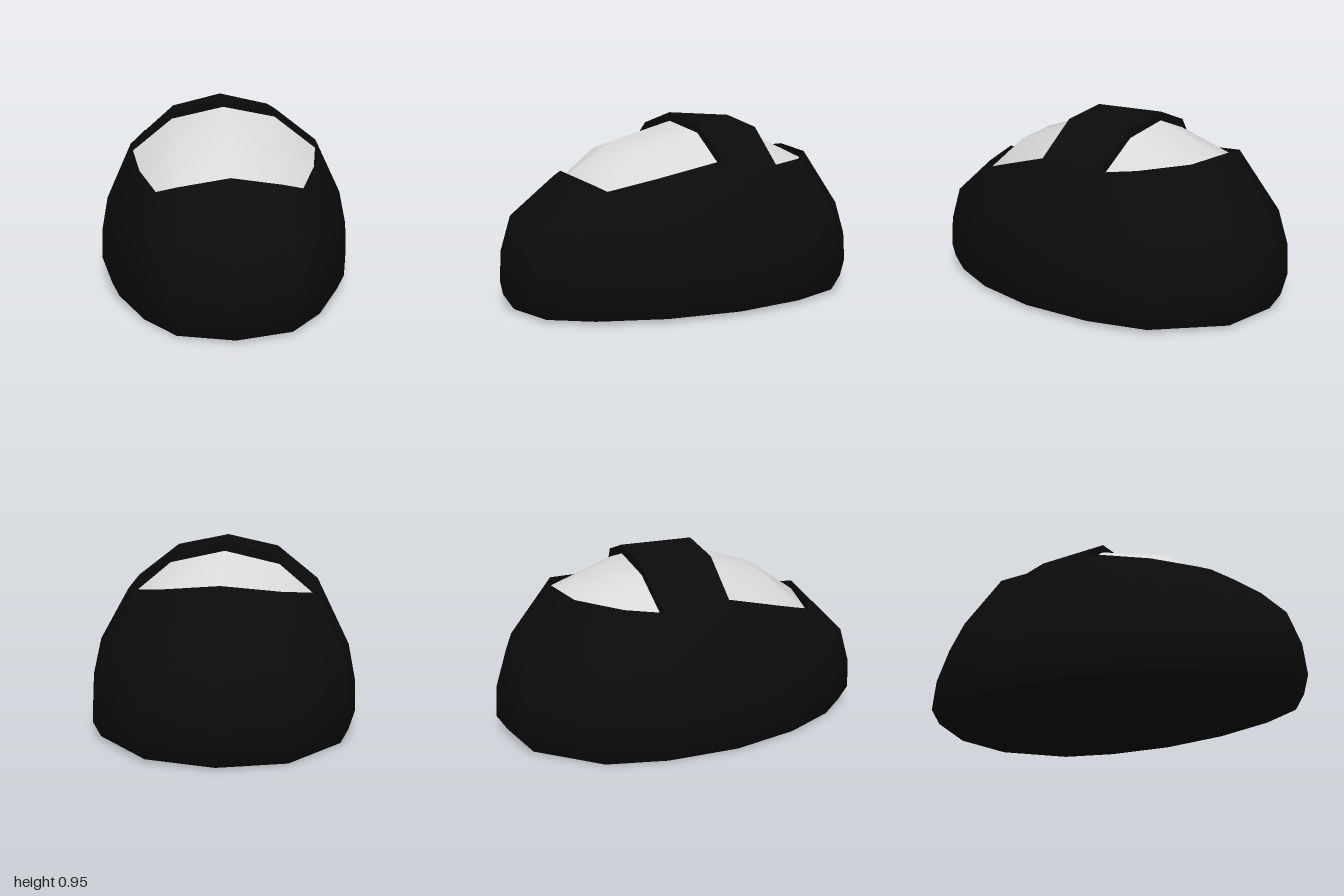
import * as THREE from 'three';

const black = new THREE.MeshStandardMaterial({ color: 0x0b0b0b });
black.name = 'blackShell';
const glass = new THREE.MeshStandardMaterial({ color: 0xd8d8d8 });
glass.name = 'paleGlass';

// Smooth surface through rows of [x, y, z] points
function loft(name, rows, material, closed = false) {
  const n = rows[0].length, index = [];
  for (let r = 0; r < rows.length - 1; r++) {
    for (let c = 0; c < (closed ? n : n - 1); c++) {
      const a = r * n + c, b = r * n + (c + 1) % n;
      index.push(a, b, b + n, a, b + n, a + n);
    }
  }
  const geometry = new THREE.BufferGeometry();
  geometry.setAttribute('position', new THREE.Float32BufferAttribute(rows.flat(2), 3));
  geometry.setIndex(index);
  geometry.computeVertexNormals();
  const mesh = new THREE.Mesh(geometry, material);
  mesh.name = name;
  return mesh;
}

const mirrorX = ([x, y, z]) => [-x, y, z];
const lower = (row, d = 0.045) => row.map(([x, y, z]) => [x, y - d, z]);
// Half a ring, nose to tail, completed on the other side
const ring = half => [...half, ...half.slice(1, -1).reverse().map(mirrorX)];
// Half an arch, left foot to centre, completed on the other side
const arch = half => [...half, ...half.slice(0, -1).reverse().map(mirrorX)];

export function createModel() {
  const group = new THREE.Group();
  group.name = 'canopy';

  // Egg-shaped plan and the window sill above it
  const plan = [[0, 1], [0.27, 0.93], [0.43, 0.74], [0.58, 0.43], [0.67, 0.06],
    [0.67, -0.32], [0.6, -0.62], [0.33, -0.92], [0, -1]];
  const sill = [[0, 0.67, 0.69], [0.24, 0.62, 0.635], [0.34, 0.592, 0.6], [0.425, 0.645, 0.39],
    [0.49, 0.72, 0.06], [0.49, 0.685, -0.27], [0.45, 0.705, -0.45], [0.28, 0.73, -0.64], [0, 0.76, -0.71]];
  const levels = [[0.011, 0.95], [0.09, 1], [0.25, 0.99], [0.43, 0.935]];
  const rows = levels.map(([y, s]) => ring(plan.map(([x, z]) => [x * s, y, z * s])));
  const sillRing = ring(sill);
  group.add(loft('hull', [...rows, sillRing], black, true));
  group.add(loft('sillWall', [sillRing, lower(sillRing)], black, true));

  // Flat underside
  const floorShape = new THREE.Shape(rows[0].map(([x, , z]) => new THREE.Vector2(x, z)));
  const floor = new THREE.Mesh(new THREE.ShapeGeometry(floorShape), black);
  floor.name = 'underside';
  floor.rotation.x = Math.PI / 2;
  floor.position.y = levels[0][0];
  group.add(floor);

  // Raised band over the top, with its edge thickness
  const frontArc = arch([sill[4], [0.27, 0.893, 0.06], [0, 0.95, 0.06]]);
  const backArc = arch([sill[5], [0.27, 0.87, -0.305], [0, 0.932, -0.32]]);
  group.add(loft('roofBand', [backArc, frontArc], black));
  group.add(loft('roofBandFrontEdge', [frontArc, lower(frontArc)], black));
  group.add(loft('roofBandBackEdge', [lower(backArc), backArc], black));

  // Recessed windows
  const middle = arch([lower([sill[3]])[0], [0.235, 0.762, 0.4], [0, 0.81, 0.4]]);
  const frontEnd = lower(arch([sill[2], sill[1], sill[0]]));
  group.add(loft('frontWindow', [lower(frontArc), middle, frontEnd], glass));
  const backEnd = lower(arch([sill[6], sill[7], sill[8]]));
  group.add(loft('backWindow', [backEnd, lower(backArc)], glass));

  // Slight roll to the side
  group.rotation.z = 0.013;
  return group;
}
